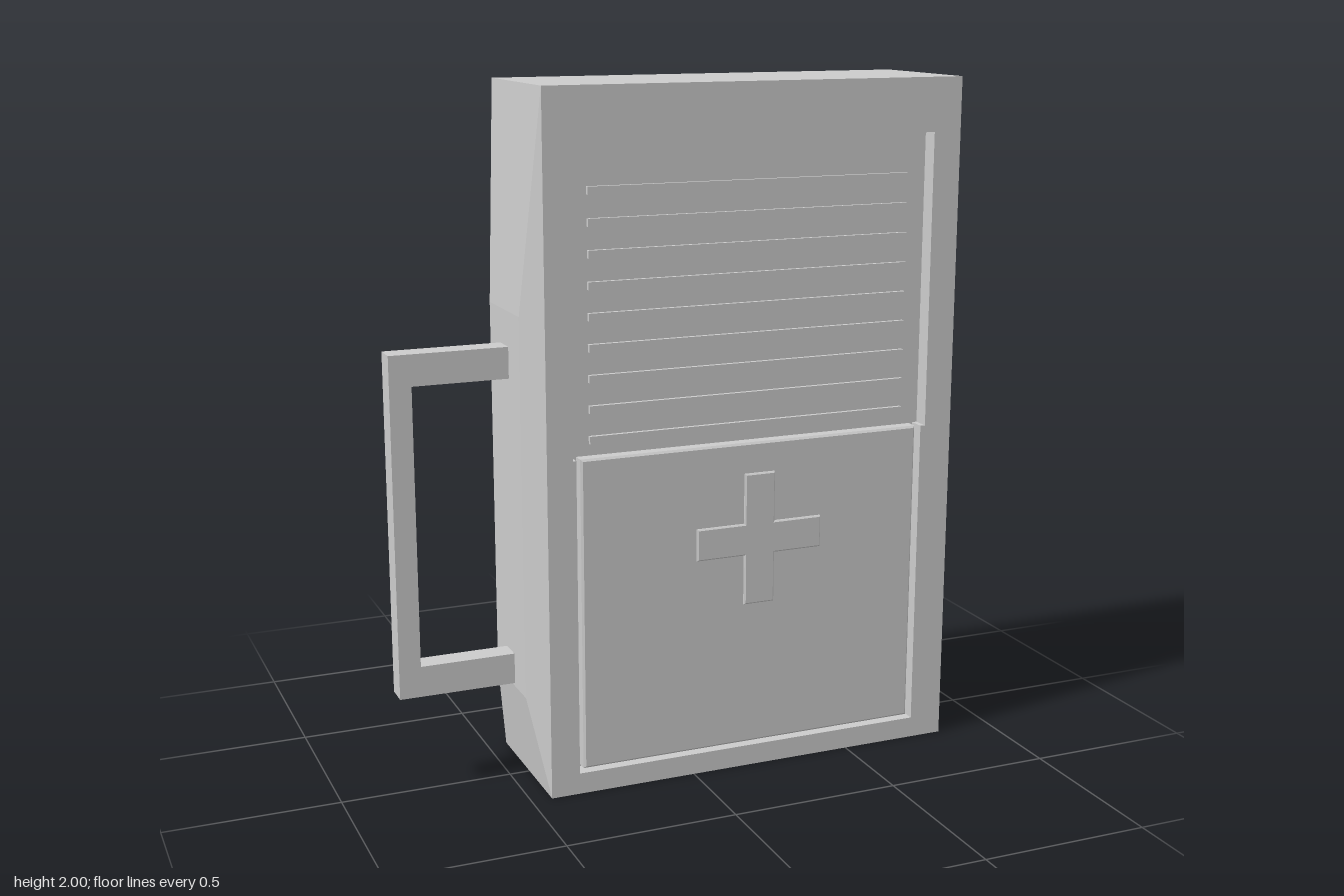
import * as THREE from 'three';

const material = new THREE.MeshStandardMaterial({ color: 0xcccccc });

// closed outline from [x, y] corners
const outline = (points, Type = THREE.Shape) => new Type(points.map(([x, y]) => new THREE.Vector2(x, y)));

export function createModel() {
  const model = new THREE.Group();

  const add = (name, geometry) => {
    const mesh = new THREE.Mesh(geometry, material);
    mesh.name = name;
    model.add(mesh);
    return mesh;
  };
  // box given by its limits on each axis
  const addBox = (name, [x0, x1], [y0, y1], [z0, z1]) =>
    add(name, new THREE.BoxGeometry(x1 - x0, y1 - y0, z1 - z0))
      .position.set((x0 + x1) / 2, (y0 + y1) / 2, (z0 + z1) / 2);
  // flat shape extruded between two depths, optional chamfer on both faces
  const addPlate = (name, shape, z0, z1, bevel = 0) => {
    const geometry = new THREE.ExtrudeGeometry(shape, {
      depth: z1 - z0 - 2 * bevel, bevelEnabled: bevel > 0, bevelSize: bevel,
      bevelThickness: bevel, bevelOffset: -bevel, bevelSegments: 1,
    });
    geometry.translate(0, 0, z0 + bevel);
    return add(name, geometry);
  };

  const left = -0.44, right = 0.825, front = 0.205, back = -0.225, floor = 0.155;

  // case body and its front frame around the stepped recess
  addBox('caseBody', [left, right], [0, 2], [back, floor]);
  const frame = outline([[left, 0], [right, 0], [right, 2], [left, 2]]);
  frame.holes.push(outline([
    [-0.355, 0.062], [-0.355, 0.985], [-0.365, 0.985], [-0.365, 1.845],
    [0.74, 1.845], [0.74, 0.985], [0.725, 0.985], [0.725, 0.062],
  ], THREE.Path));
  addPlate('frontFrame', frame, floor, front);

  // lower door panel
  addPlate('doorPanel', outline([[-0.34, 0.072], [0.71, 0.072], [0.71, 0.985], [-0.34, 0.985]]), floor, 0.2, 0.006);

  // horizontal ribs in the upper recess
  for (let i = 0; i < 9; i++) {
    const y = 1.718 - i * 0.0862;
    addBox('rib', [-0.3, 0.68], [y - 0.011, y + 0.011], [floor, floor + 0.012]);
  }

  // cross emblem standing just off the door
  const cx = 0.195, cy = 0.705, arm = 0.195, half = 0.047;
  addPlate('crossEmblem', outline([
    [cx - half, cy - arm], [cx + half, cy - arm], [cx + half, cy - half], [cx + arm, cy - half],
    [cx + arm, cy + half], [cx + half, cy + half], [cx + half, cy + arm], [cx - half, cy + arm],
    [cx - half, cy + half], [cx - arm, cy + half], [cx - arm, cy - half], [cx - half, cy - half],
  ]), 0.212, 0.225, 0.004);

  // side swelling: a box whose outer face shrinks to the handle mount
  const swell = new THREE.BoxGeometry(0.045, 2, front - back);
  swell.translate(left - 0.0225, 1, (front + back) / 2);
  const p = swell.attributes.position;
  for (let i = 0; i < p.count; i++) {
    if (p.getX(i) > left - 0.02) continue;
    p.setY(i, p.getY(i) > 1 ? 1.38 : 0.28);
    p.setZ(i, p.getZ(i) > 0 ? 0.12 : -0.145);
  }
  const flatSwell = swell.toNonIndexed();
  flatSwell.computeVertexNormals();
  add('sideMount', flatSwell);

  // square carrying handle
  addPlate('handle', outline([
    [-0.475, 0.29], [-0.475, 0.38], [-0.762, 0.38], [-0.762, 1.19],
    [-0.475, 1.19], [-0.475, 1.28], [-0.825, 1.28], [-0.825, 0.29],
  ]), -0.05, 0.02);

  return model;
}
